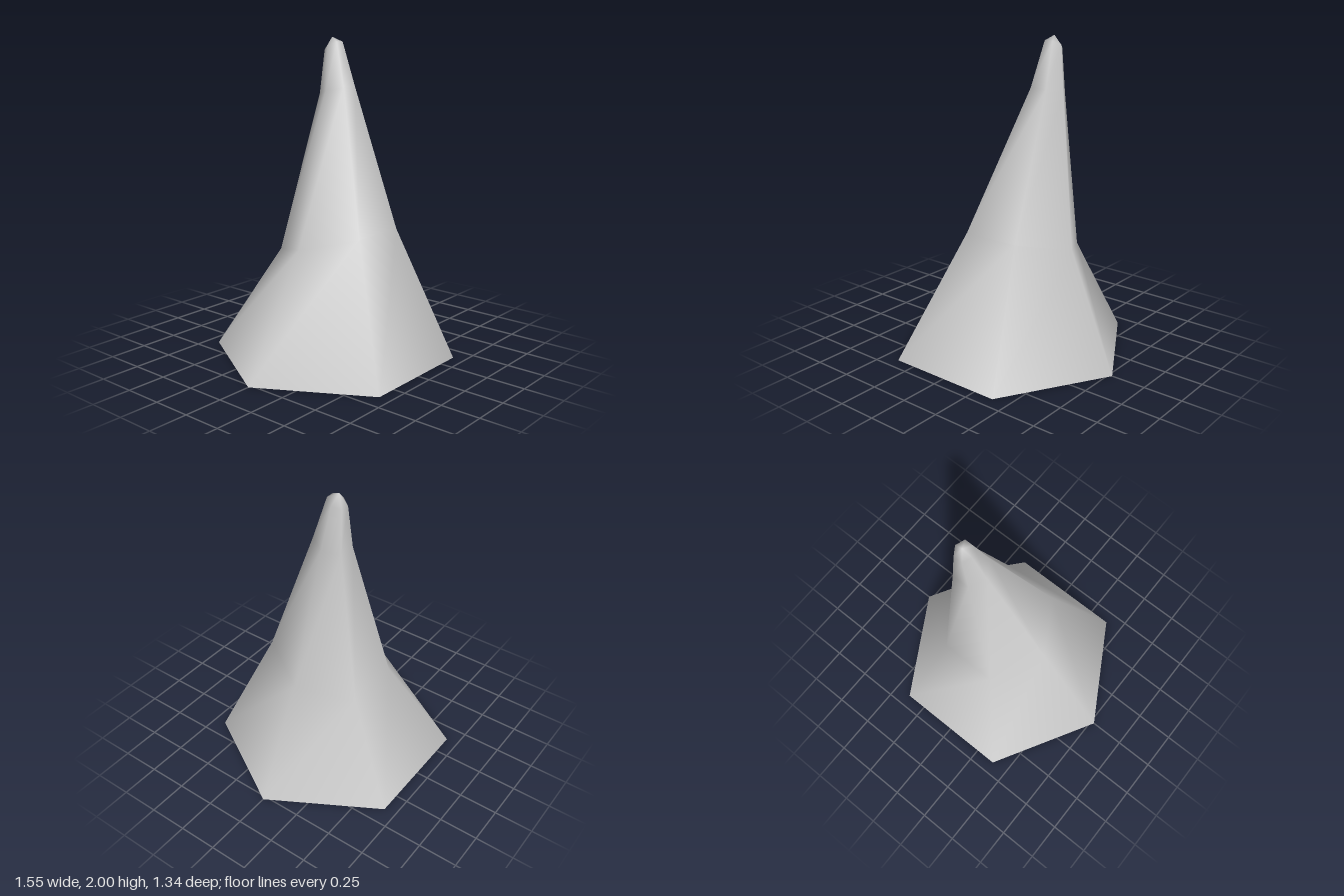
import * as THREE from 'three';

const SIDES = 6;

// Hexagonal cross-sections: centre x, y, z, radius, and tilt (rise per unit of z)
const rings = [
  { x: 0, y: 0, z: 0, r: 0.775, tilt: 0 },
  { x: 0.07, y: 0.73, z: -0.02, r: 0.375, tilt: 0.25 },
  { x: 0.178, y: 1.67, z: -0.117, r: 0.113, tilt: 0.25 },
  { x: 0.187, y: 1.945, z: -0.155, r: 0.058, tilt: 0.5 },
];
const tip = [0.185, 2, -0.165];

// Smooth skin lofted through the rings and closed at the tip, open underneath
function spikeGeometry() {
  const positions = [];
  const index = [];
  for (const { x, y, z, r, tilt } of rings) {
    for (let i = 0; i < SIDES; i++) {
      const a = (i / SIDES) * Math.PI * 2;
      const dz = -Math.sin(a) * r;
      positions.push(x + Math.cos(a) * r, y + dz * tilt, z + dz);
    }
  }
  positions.push(...tip);

  const last = rings.length - 1;
  for (let k = 0; k <= last; k++) {
    for (let i = 0; i < SIDES; i++) {
      const a = k * SIDES + i;
      const b = k * SIDES + ((i + 1) % SIDES);
      if (k === last) index.push(a, b, rings.length * SIDES);
      else index.push(a, b, b + SIDES, a, b + SIDES, a + SIDES);
    }
  }

  const geometry = new THREE.BufferGeometry();
  geometry.setAttribute('position', new THREE.Float32BufferAttribute(positions, 3));
  geometry.setIndex(index);
  geometry.computeVertexNormals();
  return geometry;
}

export function createModel() {
  const group = new THREE.Group();
  group.name = 'leaningSpike';

  const stone = new THREE.MeshStandardMaterial({ color: 0xcccccc, side: THREE.DoubleSide });
  stone.name = 'paleGrey';

  const spike = new THREE.Mesh(spikeGeometry(), stone);
  spike.name = 'spike';
  group.add(spike);
  return group;
}
